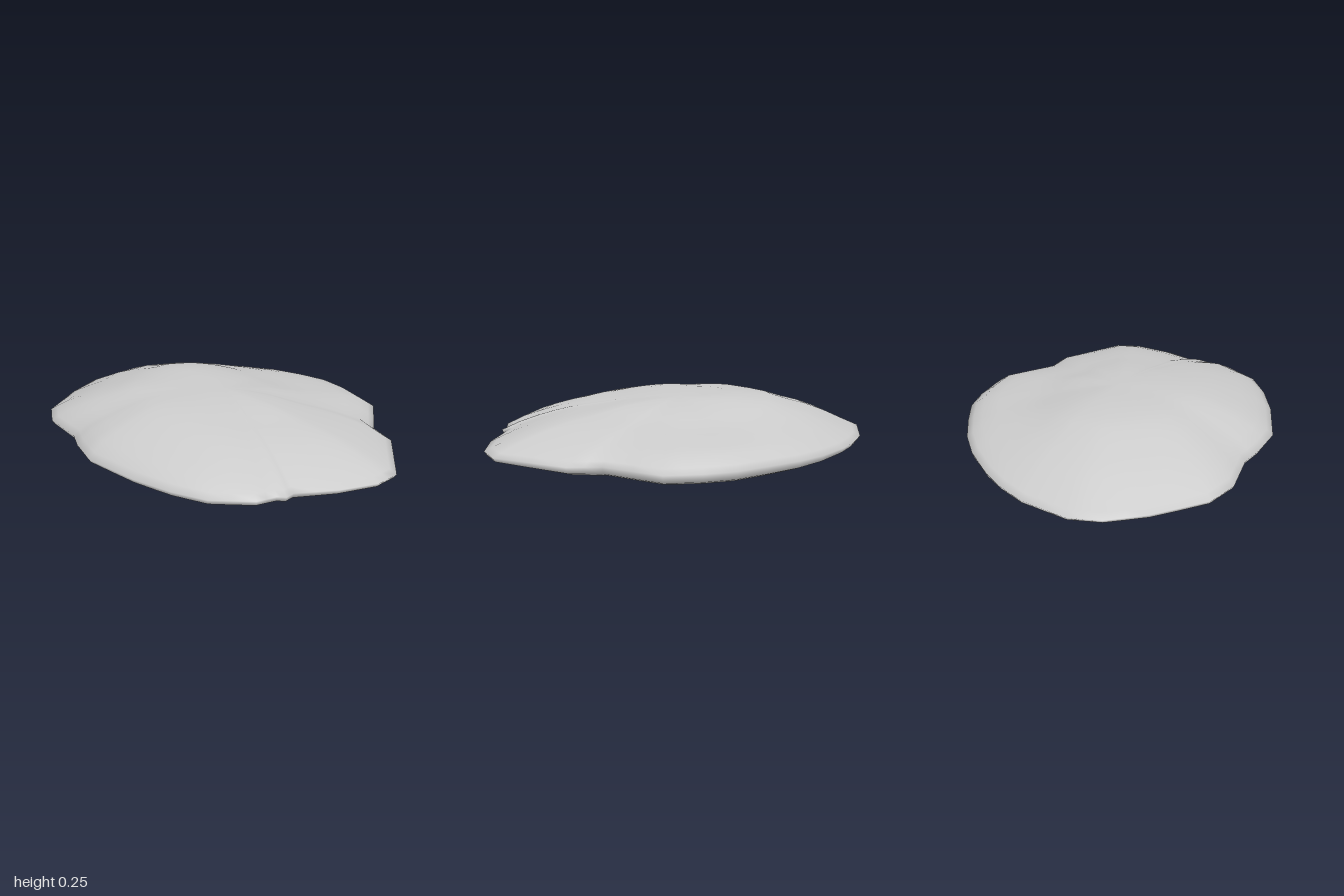
import * as THREE from 'three';
import { mergeVertices } from 'three/addons/utils/BufferGeometryUtils.js';

// Outline of the stone seen from above, as [x, z], starting at the back
const OUTLINE = [
  [0, -1], [0.24, -0.9], [0.37, -0.8], [0.47, -0.7], [0.6, -0.53], [0.68, -0.38],
  [0.74, -0.2], [0.785, -0.03], [0.785, 0.13], [0.755, 0.31], [0.54, 0.53], [0.5, 0.69],
  [0.24, 0.98], [0.11, 1], [-0.08, 0.94], [-0.26, 0.84], [-0.31, 0.85], [-0.34, 0.82],
  [-0.44, 0.8], [-0.6, 0.66], [-0.68, 0.49], [-0.74, 0.28], [-0.785, -0.03],
  [-0.74, -0.21], [-0.69, -0.33], [-0.67, -0.58], [-0.59, -0.73], [-0.35, -0.9], [-0.16, -0.99],
];

// Crest heights across the width and along the length
const ACROSS = [[-0.78, 0.06], [-0.7, 0.13], [-0.5, 0.21], [-0.4, 0.235], [-0.3, 0.246], [-0.14, 0.252],
  [0, 0.247], [0.2, 0.225], [0.4, 0.172], [0.56, 0.148], [0.7, 0.12], [0.78, 0.06]];
const ALONG = [[-1, 0.03], [-0.85, 0.1], [-0.75, 0.15], [-0.6, 0.195], [-0.5, 0.23], [-0.3, 0.252],
  [0, 0.247], [0.24, 0.243], [0.4, 0.215], [0.6, 0.187], [0.75, 0.155], [0.9, 0.105], [1, 0.065]];

function sample(table, t) {
  let i = 1;
  while (i < table.length - 1 && table[i][0] < t) i++;
  const [a, b] = [table[i - 1], table[i]];
  return THREE.MathUtils.mapLinear(t, a[0], b[0], a[1], b[1]);
}

// Dome height: the two crest profiles, stretched to the outline and mixed by direction
function topHeight(x, z, s) {
  const across = x * x / (x * x + z * z || 1);
  const p = sample(ACROSS, 0.78 * s * Math.sign(x));
  const q = sample(ALONG, s * Math.sign(z));
  return THREE.MathUtils.lerp(q, p, across);
}

// The underside curls up toward the front and the right flank
const baseHeight = (x, z) =>
  0.004 + 0.032 * Math.max(0, z) ** 2 + 0.03 * Math.max(0, -x / 0.78) ** 4;

// Rings from the crown, over the rim and in to the middle of the underside
const RINGS = [
  ...[0, 0.15, 0.3, 0.4, 0.5, 0.6, 0.7, 0.8, 0.9, 0.96, 1].map((s) => [s, topHeight]),
  [0.985, (x, z, s) => THREE.MathUtils.lerp(baseHeight(x, z), topHeight(x, z, s), 0.25)],
  [0.94, baseHeight],
  [0.8, baseHeight],
  [0.6, baseHeight],
  [0.35, () => 0.002],
  [0, () => 0],
];

function stoneGeometry() {
  // Each outline edge is split in two
  const loop = OUTLINE.flatMap(([x, z], i) => {
    const [nx, nz] = OUTLINE[(i + 1) % OUTLINE.length];
    return [[x, z], [(x + nx) / 2, (z + nz) / 2]];
  });
  const n = loop.length, last = RINGS.length - 2, positions = [], indices = [];
  for (const [s, height] of RINGS) {
    for (const [ox, oz] of loop) positions.push(ox * s, height(ox * s, oz * s, s), oz * s);
  }
  // Quads between rings, single triangles at the two poles
  for (let r = 0; r <= last; r++) {
    for (let j = 0; j < n; j++) {
      const a = r * n + j, b = r * n + (j + 1) % n, c = a + n, d = b + n;
      if (r > 0) indices.push(a, b, c);
      if (r < last) indices.push(b, d, c);
    }
  }
  const geometry = new THREE.BufferGeometry();
  geometry.setAttribute('position', new THREE.Float32BufferAttribute(positions, 3));
  geometry.setIndex(indices);
  const merged = mergeVertices(geometry);
  merged.computeVertexNormals();
  return merged;
}

export function createModel() {
  const group = new THREE.Group();
  group.name = 'flatStone';
  const stone = new THREE.Mesh(stoneGeometry(), new THREE.MeshStandardMaterial({ color: 0xcccccc }));
  stone.name = 'stone';
  group.add(stone);
  return group;
}
